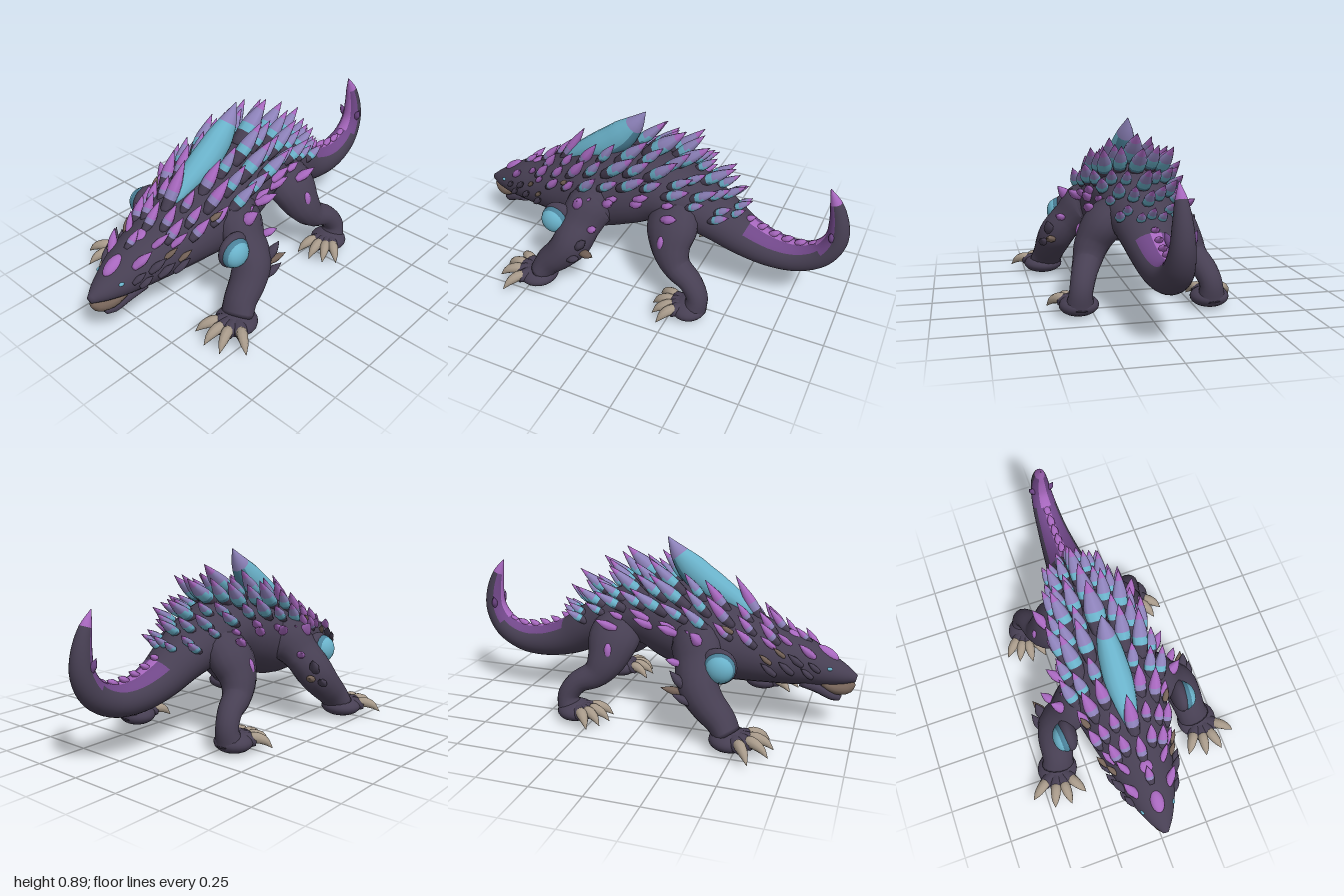
import * as THREE from 'three';

const mat = (name, color) => Object.assign(new THREE.MeshStandardMaterial({ color }), { name });
const HIDE = 0, PURPLE = 1, LAVENDER = 2, BLUE = 3, TEAL = 4, PLUM = 5, CLAW = 6, BROWN = 7;
const MATS = [
  mat('hide', 0x473f53), mat('purple crystal', 0xa767be), mat('lavender crystal', 0x8d82ba),
  mat('blue crystal', 0x6ab2ca), mat('teal crystal', 0x4a8098), mat('plum skin', 0x704788),
  mat('claw', 0xa89a8a), mat('brown scale', 0x756358),
];

// Smooth curves through stations [x, y, z, halfWidth, halfHeight]
function curves(stations) {
  const pos = new THREE.CatmullRomCurve3(stations.map(p => new THREE.Vector3(p[0], p[1], p[2])));
  const size = new THREE.CatmullRomCurve3(stations.map(p => new THREE.Vector3(p[3], p[4], 0)));
  return { pos, size };
}

// Elliptical loft; paint(t, angle, point) chooses a colour for every quad
function loft(name, stations, seg, sides, paint) {
  const { pos, size } = curves(stations);
  const pick = typeof paint === 'function' ? paint : () => paint;
  const verts = [], centres = [], buckets = MATS.map(() => []);
  for (let i = 0; i <= seg; i++) {
    const t = i / seg, p = pos.getPoint(t), w = size.getPoint(t), dir = pos.getTangent(t);
    const s = new THREE.Vector3(1, 0, 0).addScaledVector(dir, -dir.x).normalize();
    const u = new THREE.Vector3().crossVectors(dir, s);
    centres.push(p);
    for (let j = 0; j < sides; j++) {
      const a = j / sides * Math.PI * 2;
      const v = p.clone().addScaledVector(s, Math.cos(a) * Math.max(w.x, 0.001))
        .addScaledVector(u, Math.sin(a) * Math.max(w.y, 0.001));
      verts.push(v.x, v.y, v.z);
    }
  }
  for (let i = 0; i < seg; i++) for (let j = 0; j < sides; j++) {
    const a = i * sides + j, b = i * sides + (j + 1) % sides, c = b + sides, d = a + sides;
    buckets[pick((i + 0.5) / seg, (j + 0.5) / sides * Math.PI * 2, centres[i])].push(a, b, c, a, c, d);
  }
  // End caps
  const n = verts.length / 3, last = seg * sides;
  verts.push(...centres[0].toArray(), ...centres[seg].toArray());
  for (let j = 0; j < sides; j++) {
    const k = (j + 1) % sides;
    buckets[pick(0, 0, centres[0])].push(n, k, j);
    buckets[pick(1, 0, centres[seg])].push(n + 1, last + j, last + k);
  }
  const geo = new THREE.BufferGeometry(), index = [];
  geo.setAttribute('position', new THREE.Float32BufferAttribute(verts, 3));
  buckets.forEach((b, m) => {
    if (b.length) geo.addGroup(index.length, b.length, m);
    index.push(...b);
  });
  geo.setIndex(index);
  geo.computeVertexNormals();
  const mesh = new THREE.Mesh(geo, MATS);
  mesh.name = name;
  return mesh;
}

function ellipsoid(name, key, p, r) {
  const m = new THREE.Mesh(new THREE.SphereGeometry(1, 20, 14), MATS[key]);
  m.name = name; m.position.set(...p); m.scale.set(...r);
  return m;
}

// Leaf-shaped crystal from base to tip
function spike(name, base, dir, len, width, paint) {
  const rows = [[-0.12, 0.75], [0.15, 0.95], [0.38, 1], [0.7, 0.62], [1, 0.02]];
  const d = dir.clone().normalize();
  return loft(name, rows.map(([k, w]) => {
    const p = base.clone().addScaledVector(d, k * len);
    return [p.x, p.y + 0.06 * len * k * k, p.z, w * width, w * width * 0.78];
  }), 10, 8, paint);
}

const BODY = [
  [0, 0.262, 0.995, 0.015, 0.018], [0, 0.275, 0.94, 0.055, 0.046], [0, 0.295, 0.85, 0.1, 0.08],
  [0, 0.32, 0.75, 0.135, 0.112], [0, 0.342, 0.62, 0.168, 0.138], [0, 0.375, 0.45, 0.212, 0.175],
  [0, 0.415, 0.28, 0.245, 0.21], [0, 0.47, 0.1, 0.228, 0.2], [0, 0.5, -0.05, 0.2, 0.165],
  [0, 0.47, -0.2, 0.18, 0.14], [0, 0.405, -0.35, 0.145, 0.12], [0, 0.325, -0.5, 0.112, 0.1],
  [0, 0.285, -0.65, 0.095, 0.085], [0, 0.29, -0.78, 0.08, 0.075], [0, 0.345, -0.885, 0.068, 0.066],
  [0, 0.44, -0.94, 0.055, 0.056], [0, 0.54, -0.94, 0.044, 0.046], [0, 0.635, -0.915, 0.028, 0.03],
  [0, 0.71, -0.88, 0.002, 0.002],
];
const bodyCurves = curves(BODY);

// Point on the back at depth z, angle a measured from the spine
function onBody(z, a) {
  let lo = 0, hi = 0.8;
  for (let i = 0; i < 24; i++) {
    const m = (lo + hi) / 2;
    if (bodyCurves.pos.getPoint(m).z > z) lo = m; else hi = m;
  }
  const p = bodyCurves.pos.getPoint(lo), w = bodyCurves.size.getPoint(lo);
  return new THREE.Vector3(Math.sin(a) * w.x, p.y + Math.cos(a) * w.y, z);
}

// Dark roots, blue then lavender middles and purple tips; purple only toward the head
const crystal = z => (t, a) => {
  if (t < 0.28) return HIDE;
  if (z > 0.36) return t > 0.45 ? PURPLE : LAVENDER;
  if (Math.sin(a) > 0.2) return t > 0.82 ? PURPLE : t > 0.62 ? LAVENDER : t > 0.4 ? BLUE : TEAL;
  return t > 0.76 ? PURPLE : t > 0.48 ? LAVENDER : BLUE;
};

function addSpikes(g) {
  // Spine: [base z, length, half width, backward lean]
  const spine = [[0.76, 0.09, 0.022, 0.75], [0.65, 0.14, 0.027, 0.6], [0.52, 0.23, 0.036, 0.45],
    [0.02, 0.24, 0.052, 0.85], [-0.12, 0.21, 0.044, 0.95], [-0.26, 0.2, 0.037, 1.05],
    [-0.36, 0.15, 0.03, 1], [-0.43, 0.11, 0.024, 1]];
  for (const [z, len, w, lean] of spine)
    g.add(spike('spineCrystal', onBody(z, 0), new THREE.Vector3(0, 0.65, -lean), len, w, crystal(z)));
  // Great crystal rising from the shoulders
  g.add(loft('mainCrystal', [[0, 0.54, 0.48, 0.035, 0.03], [0, 0.605, 0.38, 0.058, 0.055],
    [0, 0.665, 0.27, 0.07, 0.075], [0, 0.735, 0.175, 0.063, 0.075], [0, 0.815, 0.1, 0.042, 0.045],
    [0, 0.893, 0.045, 0.002, 0.002]], 18, 14, (t, a) => t > 0.77 ? LAVENDER : Math.sin(a) > 0.5 ? TEAL : BLUE));
  // Side rows: [angle, first z, last z, step, length]
  const rows = [[22, 0.6, -0.44, 0.115, 0.195], [42, 0.62, -0.4, 0.11, 0.205], [62, 0.52, -0.36, 0.11, 0.17],
    [80, 0.28, -0.26, 0.14, 0.09]];
  rows.forEach(([deg, z0, z1, step, size], r) => {
    for (let z = z0, i = 0; z > z1; z -= step, i++) for (const s of [1, -1]) {
      const a = s * deg * Math.PI / 180;
      const len = size * (0.45 + 0.55 * Math.exp(-(((z - 0.1) / 0.4) ** 2))) * (i % 2 ? 0.84 : 1.1);
      const d = new THREE.Vector3(0.25 * Math.sin(a), 0.35 + 0.3 * Math.cos(a),
        z > 0.2 ? -0.5 : z > -0.1 ? -0.7 : -0.9);
      g.add(spike('backCrystal', onBody(z, a), d, len, 0.012 + len * 0.125, r === 3 ? PURPLE : crystal(z)));
    }
  });
  // Tail ridge
  for (let z = -0.5; z > -0.84; z -= 0.065)
    g.add(spike('tailRidge', onBody(z, 0), new THREE.Vector3(0, 0.4, -0.9), 0.055, 0.02, PURPLE));
}

function addHead(g) {
  g.add(loft('lowerJaw', [[0, 0.24, 0.74, 0.1, 0.035], [0, 0.212, 0.82, 0.08, 0.035],
    [0, 0.17, 0.89, 0.053, 0.028], [0, 0.152, 0.925, 0.02, 0.014]], 10, 14, HIDE));
  // Pale gums between the jaws
  g.add(loft('mouth', [[0, 0.24, 0.84, 0.075, 0.02], [0, 0.213, 0.9, 0.06, 0.036],
    [0, 0.213, 0.95, 0.04, 0.034], [0, 0.238, 0.985, 0.014, 0.014]], 8, 14, BROWN));
  for (const s of [1, -1]) {
    g.add(ellipsoid('eye', BLUE, [s * 0.08, 0.325, 0.87], [0.009, 0.009, 0.016]));
    // Head scales: [z, degrees from crown, length, half width, colour]
    for (const [z, deg, len, w, key] of [[0.79, 44, 0.1, 0.024, PURPLE], [0.68, 36, 0.09, 0.018, PURPLE],
      [0.66, 66, 0.07, 0.014, BROWN], [0.61, 54, 0.09, 0.018, PURPLE], [0.74, 75, 0.09, 0.02, HIDE],
      [0.82, 78, 0.07, 0.017, HIDE], [0.6, 85, 0.07, 0.015, BROWN], [0.7, 98, 0.09, 0.02, HIDE],
      [0.79, 102, 0.07, 0.018, HIDE], [0.62, 108, 0.09, 0.02, HIDE]])
      g.add(spike('headScale', onBody(z, s * deg * Math.PI / 180),
        new THREE.Vector3(s * 0.45, 0.6, -0.6), len, w, key));
  }
  // Forehead gems lying along the skull
  for (const [z, w, h, l] of [[0.85, 0.034, 0.028, 0.062], [0.69, 0.032, 0.014, 0.036]]) {
    const gem = ellipsoid('foreheadGem', PURPLE, onBody(z, 0).toArray(), [w, h, l]);
    gem.rotation.x = 0.5;
    g.add(gem);
  }
}

// Palm, toes and curved claws
function addFoot(g, s, palm, radii, tips) {
  const [px, py, pz] = palm;
  g.add(ellipsoid('foot', HIDE, [s * px, py, pz], radii));
  for (const [x, y, z] of tips) {
    const at = (k, h, r) => [s * (px + (x - px) * k), h, pz + (z - pz) * k, r, r];
    g.add(loft('toe', [at(0.1, 0.06, 0.035), at(0.35, 0.06, 0.036), at(0.58, 0.058, 0.027)], 6, 10, HIDE));
    g.add(loft('claw', [at(0.42, 0.066, 0.02), at(0.55, 0.071, 0.027), at(0.8, 0.056, 0.021),
      at(1, y, 0.001)], 8, 10, CLAW));
  }
}

function addLimbs(g, s) {
  const side = rows => rows.map(([x, ...r]) => [s * x, ...r]);
  g.add(loft('frontLeg', side([[0.11, 0.43, 0.2, 0.1, 0.13], [0.195, 0.42, 0.25, 0.115, 0.125],
    [0.275, 0.345, 0.28, 0.088, 0.11], [0.335, 0.265, 0.3, 0.093, 0.1], [0.36, 0.195, 0.35, 0.09, 0.085],
    [0.375, 0.125, 0.42, 0.082, 0.072], [0.39, 0.065, 0.46, 0.085, 0.06]]), 24, 16, HIDE));
  addFoot(g, s, [0.4, 0.05, 0.475], [0.105, 0.05, 0.1],
    [[0.57, 0.02, 0.59], [0.475, 0.02, 0.665], [0.385, 0.02, 0.675], [0.295, 0.025, 0.64]]);
  g.add(loft('hindLeg', side([[0.09, 0.46, -0.17, 0.1, 0.12], [0.175, 0.4, -0.18, 0.1, 0.13],
    [0.235, 0.305, -0.2, 0.085, 0.1], [0.265, 0.235, -0.245, 0.07, 0.072], [0.295, 0.19, -0.33, 0.06, 0.056],
    [0.315, 0.125, -0.375, 0.056, 0.053], [0.32, 0.05, -0.365, 0.07, 0.06]]), 26, 16, HIDE));
  addFoot(g, s, [0.32, 0.052, -0.335], [0.095, 0.05, 0.09],
    [[0.46, 0.02, -0.22], [0.405, 0.02, -0.175], [0.335, 0.02, -0.15], [0.255, 0.02, -0.16]]);
  // Shoulder orb with a darker rim in its socket
  g.add(ellipsoid('orbSocket', HIDE, [s * 0.3, 0.36, 0.385], [0.045, 0.088, 0.092]));
  g.add(ellipsoid('orbRim', TEAL, [s * 0.322, 0.36, 0.397], [0.047, 0.074, 0.077]));
  g.add(ellipsoid('shoulderOrb', BLUE, [s * 0.333, 0.36, 0.4], [0.047, 0.066, 0.068]));
  g.add(ellipsoid('thighMark', PURPLE, [s * 0.282, 0.362, -0.17], [0.025, 0.045, 0.022]));
  // Shoulder, hip and elbow spikes: [x, y, z, dx, dy, dz, length, width, colour]
  for (const [x, y, z, dx, dy, dz, len, w, key] of [
    [0.27, 0.45, 0.29, 0.6, 0.6, -0.3, 0.1, 0.032, PURPLE], [0.24, 0.48, 0.15, 0.6, 0.4, -0.6, 0.1, 0.026, PURPLE],
    [0.2, 0.5, 0.42, 0.4, 0.5, -0.7, 0.06, 0.016, BROWN], [0.2, 0.49, 0.02, 0.5, 0.4, -0.7, 0.1, 0.027, PURPLE],
    [0.385, 0.28, 0.24, 0.2, 0.7, -0.6, 0.09, 0.027, HIDE], [0.37, 0.24, 0.23, 0.4, 0.2, -0.8, 0.1, 0.024, BROWN],
    [0.41, 0.21, 0.28, 0.3, 0.4, -0.8, 0.09, 0.024, HIDE], [0.32, 0.36, 0.2, 0.5, 0.3, -0.6, 0.07, 0.022, PURPLE],
    [0.23, 0.47, -0.16, 0.4, 0.4, -0.8, 0.1, 0.026, PURPLE]])
    g.add(spike('limbSpike', new THREE.Vector3(s * x, y, z), new THREE.Vector3(s * dx, dy, dz), len, w, key));
  // Barbs near the tail tip
  g.add(spike('tailBarb', new THREE.Vector3(s * 0.04, 0.46, -0.925), new THREE.Vector3(s * 0.4, 0.8, 0.1), 0.06, 0.018, PLUM));
}

export function createModel() {
  const g = new THREE.Group();
  g.name = 'crystalBeast';
  // Body and tail in one sweep, plum along the inside of the tail
  g.add(loft('body', BODY, 76, 28, (t, a, p) => {
    const off = Math.abs(a - Math.PI * 1.5);
    if (p.z > -0.45) return HIDE;
    if (p.y > 0.62 && p.z < -0.85) return PURPLE;
    const upright = p.z < -0.88 && p.y > 0.36;
    return off < (upright ? 0.45 : 0.3) ? PURPLE : off < (upright ? 1.35 : 0.9) ? PLUM : HIDE;
  }));
  addHead(g);
  addSpikes(g);
  for (const s of [1, -1]) addLimbs(g, s);
  return g;
}
